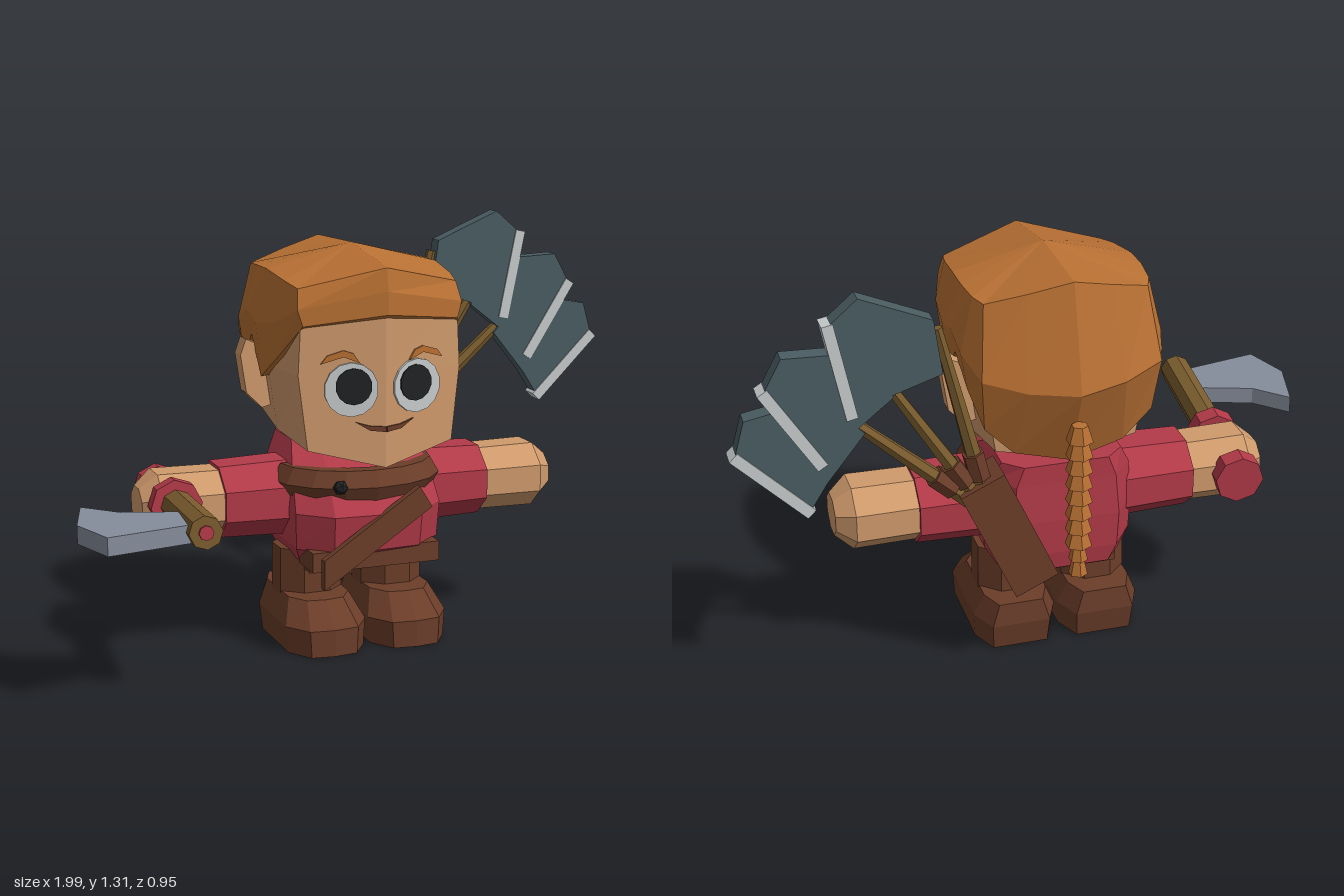
import * as THREE from 'three';

const mat = (name, color) => {
  const m = new THREE.MeshStandardMaterial({ color });
  m.name = name;
  return m;
};

export function createModel() {
  const skin = mat('skin', 0xcf9a6c), hair = mat('hair', 0xb87033), red = mat('redCloth', 0xb23a48);
  const brown = mat('leather', 0x6b3d29), wood = mat('wood', 0x7a5c2e), slate = mat('slate', 0x4a5c62);
  const pale = mat('paleEdge', 0xc8cccc), steel = mat('steel', 0x868d9b), black = mat('black', 0x202224);

  const model = new THREE.Group();
  const figure = new THREE.Group();
  figure.name = 'figure';
  figure.position.x = -0.03;
  model.add(figure);

  // Adds a faceted mesh
  const add = (parent, name, geo, material) => {
    const g = geo.index ? geo.toNonIndexed() : geo;
    g.computeVertexNormals();
    const m = new THREE.Mesh(g, material);
    m.name = name;
    parent.add(m);
    return m;
  };
  // Completes a half ring that runs from front centre to back centre
  const mirror = half => [...half, ...half.slice(1, -1).reverse().map(([x, y, z]) => [-x, y, z])];
  // Skins closed rings from bottom to top, with a fan at each end
  const loft = (rings, bottom, top) => {
    const n = rings[0].length, pos = [];
    const tri = (...p) => p.forEach(v => pos.push(...v));
    for (let j = 0; j < n; j++) {
      const k = (j + 1) % n;
      for (let i = 0; i < rings.length - 1; i++) {
        const a = rings[i], b = rings[i + 1];
        tri(a[j], a[k], b[k]);
        tri(a[j], b[k], b[j]);
      }
      tri(rings[0][k], rings[0][j], bottom);
      tri(rings.at(-1)[j], rings.at(-1)[k], top);
    }
    const g = new THREE.BufferGeometry();
    g.setAttribute('position', new THREE.Float32BufferAttribute(pos, 3));
    return g;
  };
  // Chamfered outline at height y
  const outline = (hx, zf, zb, y) => {
    const c = (zf - zb) * 0.2;
    return mirror([[0, y, zf], [hx * 0.6, y, zf - 0.01], [hx, y, zf - c],
      [hx, y, zb + c], [hx * 0.7, y, zb], [0, y, zb]]);
  };
  const plate = (pts, depth) => new THREE.ExtrudeGeometry(
    new THREE.Shape(pts.map(p => new THREE.Vector2(...p))), { depth, bevelEnabled: false });
  // Rod between two points
  const rod = (parent, name, a, b, ra, rb, material, sides = 8) => {
    const p = new THREE.Vector3(...a), q = new THREE.Vector3(...b);
    const m = add(parent, name, new THREE.CylinderGeometry(rb, ra, p.distanceTo(q), sides), material);
    m.position.copy(p).lerp(q, 0.5);
    m.quaternion.setFromUnitVectors(new THREE.Vector3(0, 1, 0), q.sub(p).normalize());
    return m;
  };

  // Head
  const headTop = [[0, 1.15, 0.24], [0.25, 1.12, 0.19], [0.27, 1.12, -0.05], [0.24, 1.12, -0.27], [0, 1.12, -0.32]];
  const headLow = [[0, 0.61, 0.24], [0.235, 0.67, 0.193], [0.25, 0.69, -0.05], [0.22, 0.71, -0.3], [0, 0.67, -0.32]];
  const headMid = [[0, 0.9, 0.24], [0.262, 0.9, 0.188], [0.28, 0.9, -0.05], [0.25, 0.9, -0.3], [0, 0.9, -0.34]];
  add(figure, 'head', loft([headLow, headMid, headTop].map(mirror), [0, 0.64, -0.05], [0, 1.18, -0.05]), skin);

  // Hair cap: lower edge, widest line and rim
  const hairLow = [[0, 1.08, 0.26], [0.25, 1.05, 0.2], [0.287, 0.95, 0.09], [0.3, 0.86, -0.055], [0.3, 0.98, -0.145],
    [0.29, 0.9, -0.245], [0.26, 0.8, -0.325], [0.17, 0.71, -0.325], [0, 0.67, -0.34]];
  const hairMid = [[0, 1.15, 0.258], [0.265, 1.1, 0.195], [0.3, 1.05, 0.09], [0.315, 1.03, -0.055], [0.315, 1.06, -0.145],
    [0.31, 1.02, -0.25], [0.275, 0.97, -0.36], [0.15, 0.94, -0.41], [0, 0.93, -0.45]];
  const hairRim = [[0, 1.22, 0.245], [0.255, 1.16, 0.17], [0.27, 1.175, 0.09], [0.28, 1.195, -0.05], [0.28, 1.195, -0.145],
    [0.27, 1.19, -0.24], [0.25, 1.185, -0.29], [0.13, 1.22, -0.335], [0, 1.255, -0.365]];
  add(figure, 'hair', loft([hairLow, hairMid, hairRim].map(mirror), [0, 0.9, -0.05], [0, 1.265, -0.05]), hair);

  // Braid down the back
  for (let i = 0; i < 10; i++) {
    const y = 0.83 - i * 0.05, r = i > 7 ? 0.03 : 0.042;
    rod(figure, 'braid', [0, y - 0.052, -0.43], [0, y, -0.43], r, r * 0.6, hair, 6);
  }

  // Face details and ears
  for (const s of [1, -1]) {
    const face = new THREE.Group();
    face.name = s > 0 ? 'leftFace' : 'rightFace';
    face.position.z = 0.24;
    face.rotation.y = s * 0.197;
    figure.add(face);
    const disc = (name, r, t, y, z, m) => {
      const e = add(face, name, new THREE.CylinderGeometry(r, r, 0.009, 14).rotateX(Math.PI / 2), m);
      e.position.set(s * t, y, z);
    };
    disc('eyeWhite', 0.083, 0.107, 0.855, 0.004, pale);
    disc('pupil', 0.056, 0.1, 0.865, 0.009, black);
    const flat = (name, pts, m) => add(face, name, plate(pts.map(([x, y]) => [s * x, y]), 0.007), m);
    flat('eyebrow', [[0.08, 0.935], [0.13, 0.955], [0.2, 0.935], [0.18, 0.96], [0.13, 0.975], [0.1, 0.965]], hair);
    flat('mouth', [[0, 0.722], [0.05, 0.728], [0.095, 0.755], [0.05, 0.742], [0, 0.738]], brown);
    const ear = add(figure, 'ear', plate([[0.24, 0.93], [0.33, 0.97], [0.348, 0.92], [0.33, 0.8], [0.28, 0.75], [0.24, 0.76]]
      .map(([x, y]) => [s * x, y]), 0.06), skin);
    ear.position.z = -0.17;
  }

  // Torso
  add(figure, 'shirt', loft([outline(0.2, 0.09, -0.3, 0.275), outline(0.235, 0.18, -0.31, 0.335),
    outline(0.24, 0.195, -0.315, 0.45), outline(0.225, 0.1, -0.31, 0.58), outline(0.19, -0.04, -0.31, 0.645)],
  [0, 0.275, -0.1], [0, 0.645, -0.15]), red);
  add(figure, 'beltFront', new THREE.BoxGeometry(0.42, 0.062, 0.13), brown).position.set(0, 0.308, 0.1);
  add(figure, 'hips', new THREE.BoxGeometry(0.36, 0.04, 0.3), brown).position.set(0, 0.262, -0.1);

  // Scarf, button and sash
  const scarf = new THREE.TorusGeometry(0.21, 0.058, 6, 8, Math.PI).rotateX(Math.PI / 2).scale(1.03, 1, 0.83);
  add(figure, 'scarf', scarf, brown).position.set(0, 0.535, -0.035);
  add(figure, 'button', new THREE.IcosahedronGeometry(0.024, 0), black).position.set(-0.12, 0.54, 0.165);
  const sash = add(figure, 'sash', plate([[-0.23, -0.04], [0.2, -0.04], [0.2, 0.04], [-0.18, 0.04]], 0.025), brown);
  sash.position.set(-0.02, 0.39, 0.185);
  sash.rotation.set(0, 0.06, 0.56);

  // Arms and legs
  for (const s of [1, -1]) {
    const limb = (name, x0, x1, r0, r1, m) => {
      const g = new THREE.CylinderGeometry(r1, r0, x1 - x0, 8).rotateY(Math.PI / 8).rotateZ(-s * Math.PI / 2).scale(1, 1, 1.15);
      add(figure, name, g, m).position.set(s * (x0 + x1) / 2, 0.47, -0.11);
    };
    limb('sleeve', 0.18, 0.44, 0.13, 0.122, red);
    limb('arm', 0.4, 0.635, 0.11, 0.113, skin);
    limb('hand', 0.635, 0.69, 0.113, 0.065, skin);

    const leg = add(figure, 'leg', new THREE.CylinderGeometry(0.11, 0.112, 0.17, 8).rotateY(Math.PI / 8), brown);
    leg.position.set(s * 0.137, 0.215, -0.107);
    const boot = add(figure, 'boot', loft([outline(0.125, 0.165, -0.275, 0), outline(0.132, 0.165, -0.29, 0.085),
      outline(0.1, 0.08, -0.285, 0.16)], [0, 0, -0.05], [0, 0.165, -0.1]), brown);
    boot.position.x = s * 0.137;
  }

  // Hand axe
  const axe = new THREE.Group();
  axe.name = 'handAxe';
  model.add(axe);
  const tail = new THREE.Vector3(-0.61, 0.48, -0.28), tip = new THREE.Vector3(-0.665, 0.525, 0.465);
  const along = t => tail.clone().lerp(tip, t).toArray();
  rod(axe, 'handle', along(0.02), along(1), 0.05, 0.05, wood);
  rod(axe, 'pommel', along(0), along(0.08), 0.078, 0.078, red);
  rod(axe, 'gripBand', along(0.36), along(0.44), 0.08, 0.08, red);
  rod(axe, 'endCap', along(0.98), along(1.012), 0.022, 0.022, red);
  const blade = plate([[-0.65, -0.27], [-0.7, -0.26], [-0.85, -0.21], [-0.945, -0.11], [-1, -0.31], [-0.95, -0.47],
    [-0.7, -0.42], [-0.65, -0.42]], 0.055).rotateX(-Math.PI / 2);
  add(axe, 'blade', blade, steel).position.y = 0.485;

  // Quiver with three throwing axes
  const quiver = add(model, 'quiver', new THREE.BoxGeometry(0.145, 0.4, 0.128), brown);
  quiver.position.set(0.185, 0.495, -0.38);
  quiver.rotation.z = -0.43;
  const throwing = [[0.67, 1.09, 0.2, 0.385, 1.18], [0.81, 0.93, 0.56, 0.565, 1.08], [0.875, 0.765, 0.785, 0.685, 0.965]];
  throwing.forEach(([x, y, tilt, sx, sy], i) => {
    const g = new THREE.Group();
    g.name = 'throwingAxe' + (i + 1);
    model.add(g);
    const base = new THREE.Vector3(0.25 + i * 0.025, 0.62, -0.4), end = new THREE.Vector3(sx, sy, -0.4);
    const at = t => base.clone().lerp(end, t).toArray();
    rod(g, 'shaft', at(0), at(1), 0.028, 0.016, wood, 6);
    rod(g, 'collar', at(0.12), at(0.27), 0.034, 0.034, brown, 6);
    const head = new THREE.Group();
    head.name = 'axeHead';
    head.position.set(x, y, -0.4);
    head.rotation.z = -tilt;
    g.add(head);
    add(head, 'axeBlade', plate([[-0.28, -0.1], [-0.1, -0.12], [-0.01, -0.14], [-0.01, 0.15], [-0.1, 0.2], [-0.29, 0.07]],
      0.055), slate).position.z = -0.0275;
    add(head, 'cuttingEdge', new THREE.BoxGeometry(0.034, 0.3, 0.064), pale);
  });

  return model;
}
